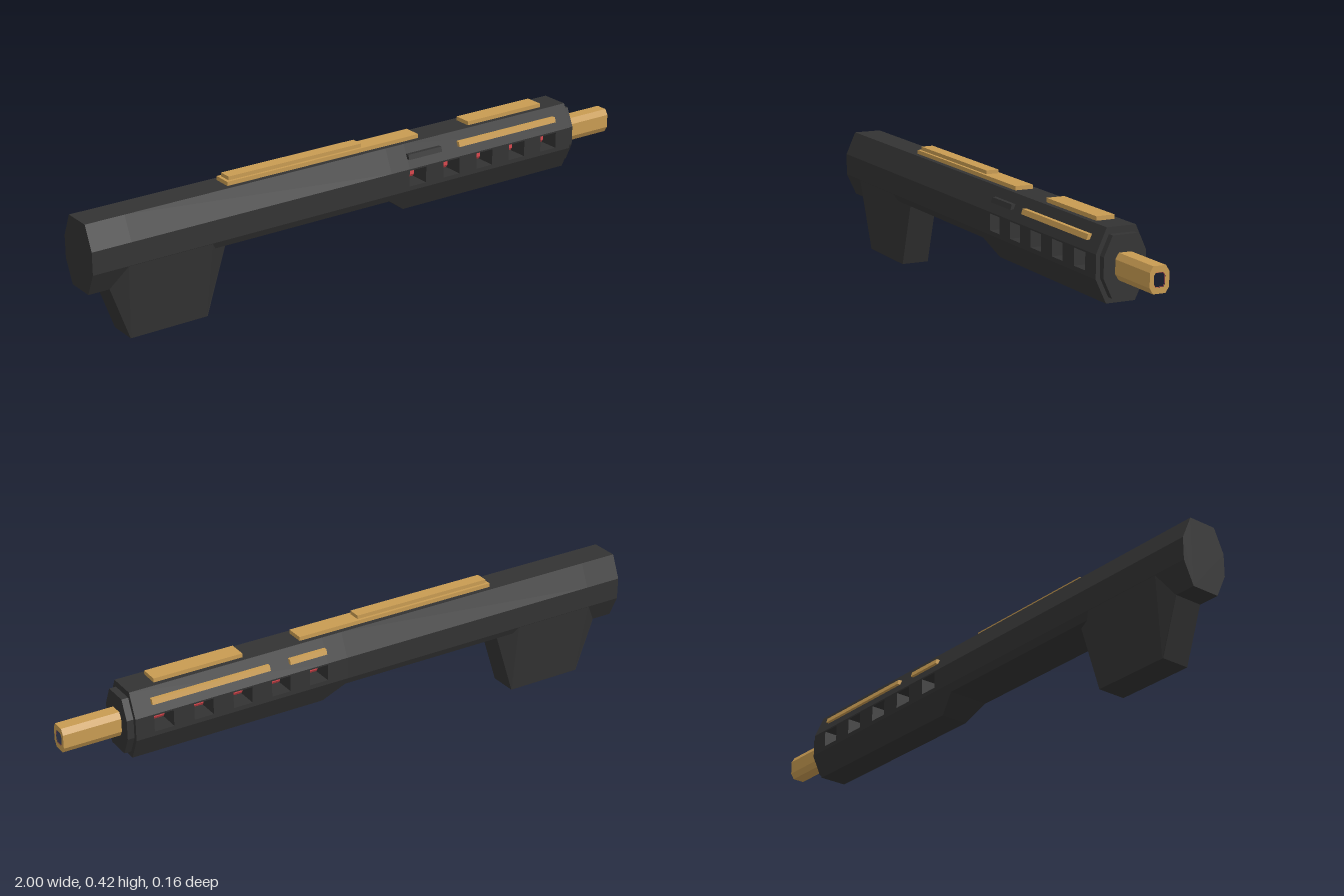
import * as THREE from 'three';

const mat = (color) => new THREE.MeshStandardMaterial({ color, flatShading: true });

// Skin a list of convex rings (same point count), closed at both ends.
function loft(rings) {
  const pos = [];
  const tri = (...pts) => pts.forEach((p) => pos.push(...p));
  const n = rings[0].length;
  for (let r = 0; r < rings.length - 1; r++) {
    const s = rings[r], e = rings[r + 1];
    for (let i = 0; i < n; i++) {
      const j = (i + 1) % n;
      tri(s[i], s[j], e[j]);
      tri(s[i], e[j], e[i]);
    }
  }
  const first = rings[0], last = rings[rings.length - 1];
  for (let i = 1; i < n - 1; i++) {
    tri(first[0], first[i + 1], first[i]);
    tri(last[0], last[i], last[i + 1]);
  }
  const g = new THREE.BufferGeometry();
  g.setAttribute('position', new THREE.Float32BufferAttribute(pos, 3));
  g.computeVertexNormals();
  return g;
}

// Profiles are [z, y] points, placed at a station along x.
const ringAt = (x, profile) => profile.map(([z, y]) => [x, y, z]);
const prism = (x0, x1, profile) => loft([ringAt(x0, profile), ringAt(x1, profile)]);
// Mirror the -z half of a profile to close it.
const symmetric = (half) => [...half, ...half.map(([z, y]) => [-z, y]).reverse()];
const mirrored = (profile) => profile.map(([z, y]) => [-z, y]).reverse();

const octagon = symmetric([[-0.047, 0.175], [-0.081, 0.248], [-0.081, 0.32], [-0.047, 0.395]]);
const shallow = symmetric([[-0.07, 0.225], [-0.081, 0.248], [-0.081, 0.32], [-0.047, 0.395]]);
const capProfile = symmetric([[-0.04, 0.193], [-0.068, 0.253], [-0.068, 0.315], [-0.04, 0.375]]);
const barrelProfile = symmetric([[-0.02, 0.245], [-0.031, 0.263], [-0.031, 0.306], [-0.02, 0.324]]);
const boreProfile = symmetric([[-0.012, 0.263], [-0.018, 0.272], [-0.018, 0.296], [-0.012, 0.305]]);
const stripProfile = [[-0.078, 0.35], [-0.073, 0.366], [-0.055, 0.366], [-0.055, 0.35]];

// Open-ended tube with an outer and inner profile
function tube(x0, x1, outer, inner) {
  const path = (p) => p.map(([z, y]) => new THREE.Vector2(z, y));
  const shape = new THREE.Shape(path(outer));
  shape.holes.push(new THREE.Path(path(inner)));
  const g = new THREE.ExtrudeGeometry(shape, { depth: x1 - x0, bevelEnabled: false });
  return g.rotateY(Math.PI / 2).translate(x0, 0, 0);
}

export function createModel() {
  const model = new THREE.Group();
  const dark = mat(0x333333), gold = mat(0xc89b52), red = mat(0xd8484e);
  const add = (name, geometry, material, parent = model) => {
    const m = new THREE.Mesh(geometry, material);
    m.name = name;
    parent.add(m);
    return m;
  };
  const box = (x0, x1, y0, y1, halfZ) =>
    new THREE.BoxGeometry(x1 - x0, y1 - y0, 2 * halfZ).translate((x0 + x1) / 2, (y0 + y1) / 2, 0);

  // Rear block, and the slimmer middle that ramps down to the fore-end
  add('rearBody', prism(-1, -0.87, octagon), dark);
  add('middleBody', loft([ringAt(-0.87, shallow), ringAt(0.06, shallow), ringAt(0.13, octagon)]), dark);

  // Fore-end: upper and lower shells joined by pillars, leaving through windows
  const foreEnd = new THREE.Group();
  foreEnd.name = 'foreEnd';
  model.add(foreEnd);
  const winLow = 0.262, winHigh = 0.315, foreStart = 0.13, foreStop = 0.79;
  add('foreEndTop', prism(foreStart, foreStop,
    symmetric([[-0.081, winHigh], [-0.081, 0.32], [-0.047, 0.395]])), dark, foreEnd);
  add('foreEndBottom', prism(foreStart, foreStop,
    symmetric([[-0.047, 0.175], [-0.081, 0.248], [-0.081, winLow]])), dark, foreEnd);
  const pitch = 0.1335, winWidth = 0.065;
  for (let i = 0; i < 5; i++) {
    const x0 = foreStart + i * pitch + winWidth;
    const x1 = i < 4 ? foreStart + (i + 1) * pitch : foreStop;
    add('windowPillar', box(x0, x1, winLow, winHigh, 0.081), dark, foreEnd);
  }
  add('core', prism(0.12, 0.78, boreProfile), red);

  // Front cap, barrel and its bore lining
  add('frontCap', prism(0.79, 0.812, capProfile), dark);
  const lining = boreProfile.map(([z, y]) => [z * 0.94, 0.284 + (y - 0.284) * 0.94]);
  add('barrel', tube(0.81, 1, barrelProfile, boreProfile), gold);
  add('barrelLining', tube(0.81, 0.998, boreProfile, lining), red);

  // Grip: chamfered at the top, tapering to a rectangular foot
  const gripRing = (y, back, front, inset, half) => [
    [front, y, 0.047], [front, y, -0.047], [front - inset, y, -half], [back + inset, y, -half],
    [back, y, -0.047], [back, y, 0.047], [back + inset, y, half], [front - inset, y, half],
  ];
  add('grip', loft([
    gripRing(0, -0.868, -0.602, 0.004, 0.0475),
    gripRing(0.25, -0.957, -0.522, 0.075, 0.0808),
  ]), dark);

  // Top rails
  add('rearRail', box(-0.51, 0.2, 0.39, 0.408, 0.03), gold);
  add('rearRailRidge', box(-0.5, -0.015, 0.4, 0.42, 0.021), gold);
  add('frontRail', box(0.4, 0.7, 0.39, 0.408, 0.03), gold);

  // Side strips
  add('rightLongStrip', prism(0.33, 0.73, stripProfile), gold);
  add('leftLongStrip', prism(0.33, 0.73, mirrored(stripProfile)), gold);
  add('rightShortStrip', prism(0.13, 0.26, stripProfile), gold);
  add('leftShortStrip', prism(0.13, 0.26, mirrored(stripProfile)), dark);

  return model;
}
